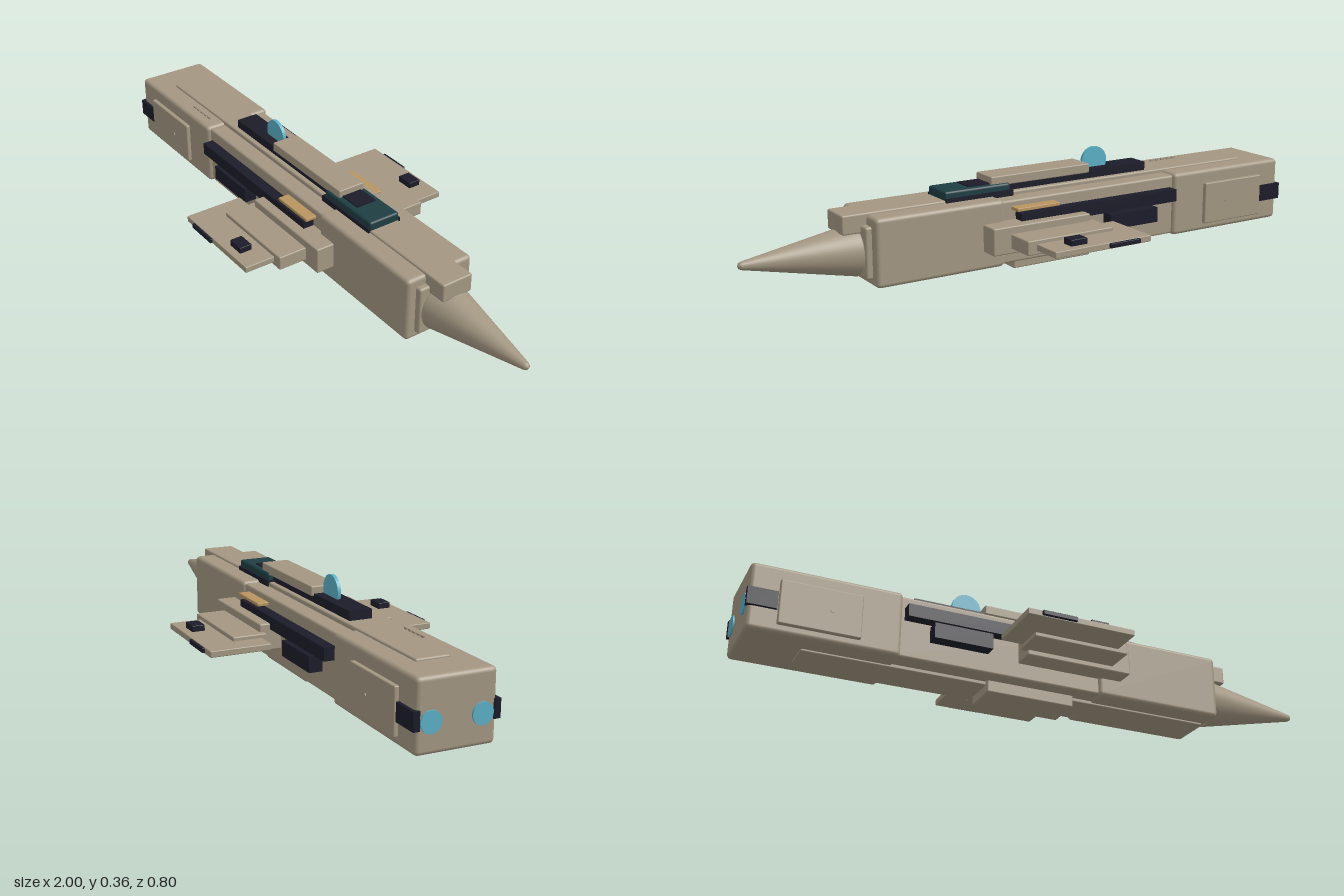
import * as THREE from 'three';
import { RoundedBoxGeometry } from 'three/addons/geometries/RoundedBoxGeometry.js';

export function createModel() {
  const model = new THREE.Group();
  model.name = 'spacecraft';

  const material = (name, color) => {
    const m = new THREE.MeshStandardMaterial({ color });
    m.name = name;
    return m;
  };
  const hull = material('hull beige', 0xa39782);
  const navy = material('dark navy', 0x1c1c2a);
  const teal = material('deep teal', 0x1e3d42);
  const cyan = material('glow cyan', 0x5bb0c6);
  const gold = material('ochre', 0xb8955f);

  const add = (name, geometry, mat) => {
    const mesh = new THREE.Mesh(geometry, mat);
    mesh.name = name;
    model.add(mesh);
    return mesh;
  };
  // Box given by its extents on each axis, with an optional edge radius
  const block = (name, mat, [x0, x1], [y0, y1], [z0, z1], r = 0) => {
    const size = [x1 - x0, y1 - y0, z1 - z0];
    const g = r ? new RoundedBoxGeometry(...size, 3, r) : new THREE.BoxGeometry(...size);
    g.translate((x0 + x1) / 2, (y0 + y1) / 2, (z0 + z1) / 2);
    return add(name, g, mat);
  };
  // Same block on both sides of the hull
  const pair = (name, mat, xs, ys, [z0, z1], r = 0) => {
    block(name + 'Left', mat, xs, ys, [z0, z1], r);
    block(name + 'Right', mat, xs, ys, [-z1, -z0], r);
  };

  // Main hull sections
  block('rearHull', hull, [-0.995, -0.52], [0.036, 0.255], [-0.125, 0.125], 0.014);
  block('middleHull', hull, [-0.54, 0.18], [0.041, 0.248], [-0.112, 0.112], 0.008);
  block('frontHull', hull, [0.16, 0.61], [0.036, 0.255], [-0.122, 0.122], 0.014);
  block('noseCollar', hull, [0.59, 0.63], [0.06, 0.225], [-0.09, 0.09], 0.008);

  // Nose cone, with its tip raised slightly
  const profile = [[0, 0], [0.082, 0], [0.082, 0.004], [0.013, 0.358], [0.009, 0.367], [0, 0.371]];
  const cone = new THREE.LatheGeometry(profile.map(([x, y]) => new THREE.Vector2(x, y)), 48);
  cone.rotateZ(-Math.PI / 2);
  const p = cone.attributes.position;
  for (let i = 0; i < p.count; i++) p.setY(i, p.getY(i) + 0.022 * p.getX(i));
  cone.translate(0.629, 0.135, 0);
  add('noseCone', cone, hull);

  // Spine and belly
  block('spine', hull, [-0.87, 0.69], [0.2, 0.262], [-0.055, 0.055], 0.006);
  block('bellyStrip', hull, [-0.81, 0.59], [0.029, 0.06], [-0.05, 0.05], 0.004);
  block('bellyPod', hull, [-0.21, 0.092], [0.002, 0.06], [-0.064, 0.064], 0.005);

  // Dorsal deck
  block('dorsalRail', navy, [-0.455, 0.165], [0.255, 0.291], [-0.038, 0.038]);
  block('dorsalHousing', hull, [-0.215, 0.167], [0.283, 0.315], [-0.048, 0.048], 0.004);
  block('canopyBase', navy, [0.092, 0.338], [0.243, 0.268], [-0.062, 0.062]);
  block('canopy', teal, [0.1, 0.34], [0.255, 0.29], [-0.056, 0.056], 0.008);
  block('canopyWindow', navy, [0.165, 0.245], [0.288, 0.294], [-0.036, 0.036]);

  // Upright sensor disc
  const disc = new THREE.CylinderGeometry(0.05, 0.05, 0.011, 40);
  disc.rotateX(Math.PI / 2);
  disc.translate(-0.265, 0.31, 0);
  add('sensorDisc', disc, cyan);

  // Side equipment
  pair('sideRail', navy, [-0.51, 0.115], [0.166, 0.208], [0.1, 0.15]);
  pair('sidePod', navy, [-0.425, -0.23], [0.107, 0.158], [0.1, 0.156]);
  pair('sideBar', gold, [-0.03, 0.13], [0.217, 0.228], [0.1, 0.15], 0.002);
  pair('rearPanel', hull, [-0.905, -0.65], [0.063, 0.208], [0.115, 0.139], 0.004);
  pair('rearBand', navy, [-1, -0.908], [0.109, 0.166], [0.115, 0.135]);
  for (const side of [1, -1]) {
    const rivet = new THREE.CylinderGeometry(0.006, 0.006, 0.006, 12);
    rivet.rotateX(Math.PI / 2);
    rivet.translate(-0.745, 0.135, side * 0.139);
    add('panelRivet', rivet, hull);
  }

  // Stepped wings, tip markers and top studs
  pair('wingRoot', hull, [-0.125, 0.24], [0.096, 0.185], [0.1, 0.185], 0.005);
  pair('wingMiddle', hull, [-0.145, 0.177], [0.113, 0.16], [0.17, 0.284], 0.004);
  pair('wingOuter', hull, [-0.217, 0.145], [0.126, 0.147], [0.185, 0.389], 0.003);
  pair('wingTip', navy, [-0.17, -0.055], [0.13, 0.145], [0.38, 0.398], 0.002);
  pair('wingStud', navy, [0.01, 0.07], [0.145, 0.167], [0.319, 0.362], 0.002);

  // Rear thrusters
  for (const z of [-0.08, 0.08]) {
    const thruster = new THREE.CylinderGeometry(0.033, 0.033, 0.008, 28);
    thruster.rotateZ(Math.PI / 2);
    thruster.translate(-0.996, 0.13, z);
    add('thruster', thruster, cyan);
  }

  // Row of small vents on the rear roof
  for (let i = 0; i < 5; i++) {
    const x = -0.685 + i * 0.024;
    block('roofVent', hull, [x, x + 0.015], [0.252, 0.261], [0.079, 0.085]);
  }

  return model;
}
